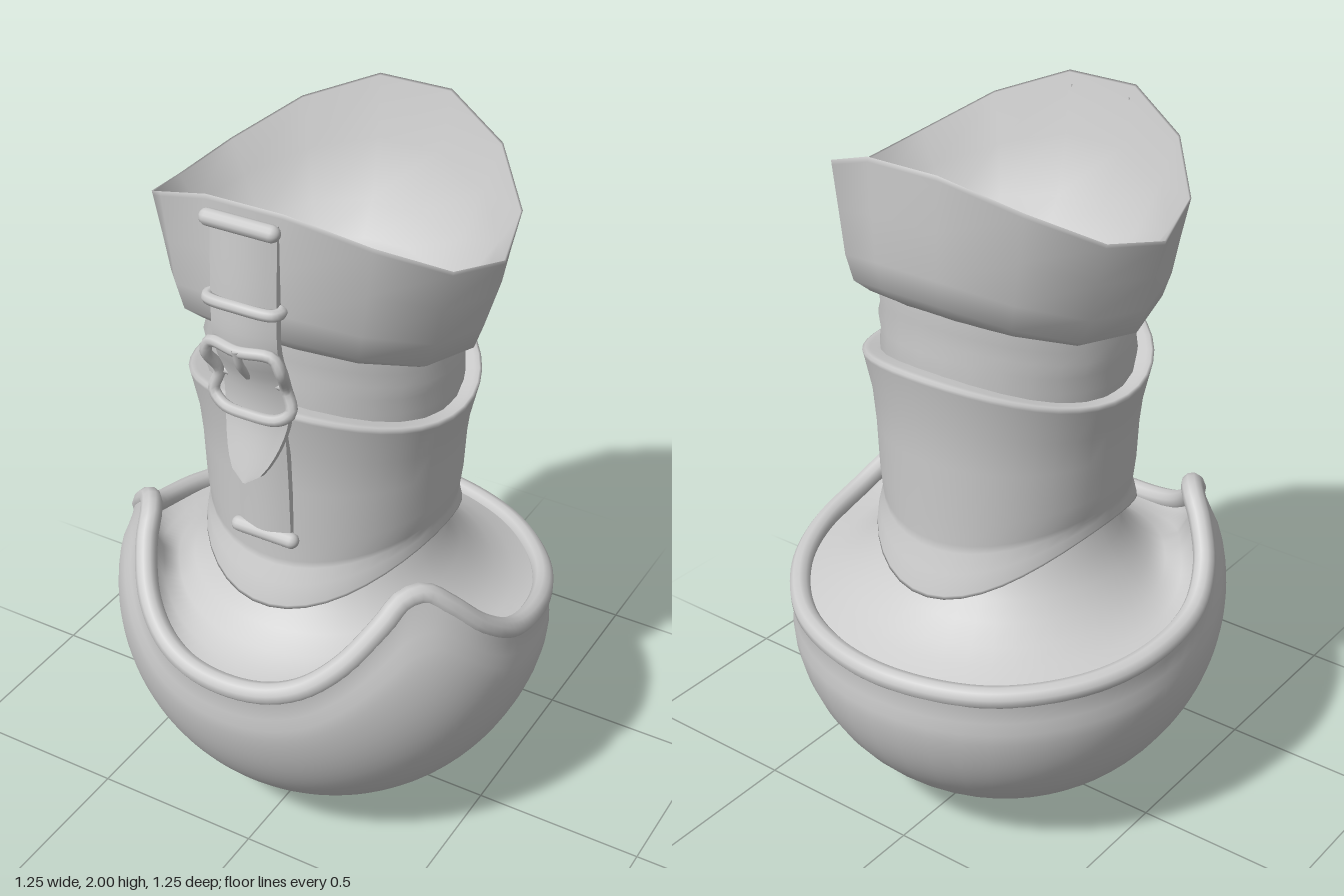
import * as THREE from 'three';

const material = new THREE.MeshStandardMaterial({ color: 0xcccccc, side: THREE.DoubleSide });
const V = (x, y, z) => new THREE.Vector3(x, y, z);
const cos2 = (a) => Math.cos(a) ** 2;

function add(parent, name, geometry) {
  const mesh = new THREE.Mesh(geometry, material);
  mesh.name = name;
  parent.add(mesh);
  return mesh;
}

// Smooth surface through closed rings: point(row, column) gives each corner.
function loft(rows, cols, point) {
  const pos = [], index = [];
  for (let j = 0; j < rows; j++)
    for (let i = 0; i < cols; i++) pos.push(...point(j, i).toArray());
  for (let j = 0; j < rows - 1; j++)
    for (let i = 0; i < cols; i++) {
      const a = j * cols + i, b = j * cols + (i + 1) % cols;
      index.push(a, b, b + cols, a, b + cols, a + cols);
    }
  const g = new THREE.BufferGeometry();
  g.setAttribute('position', new THREE.Float32BufferAttribute(pos, 3));
  g.setIndex(index);
  g.computeVertexNormals();
  return g;
}

// Elliptical rings [rx, rz, y at the sides, y at front and back, extra y at the front]
function cuff(rows, cols) {
  return loft(rows.length, cols, (j, i) => {
    const a = ((i + 0.5) / cols) * Math.PI * 2;
    const [rx, rz, ySide, yEnd, front = 0] = rows[j];
    const y = ySide + (yEnd - ySide) * cos2(a) + front * Math.max(0, Math.cos(a)) ** 2;
    return V(rx * Math.sin(a), y, rz * Math.cos(a));
  });
}

// Curved band following [y, z] points, optionally narrowing to a tip.
function band(points, width, tip = 0) {
  const path = new THREE.CatmullRomCurve3(points.map(([y, z]) => V(0, y, z)));
  const g = new THREE.BoxGeometry(width, 1, 0.02, 8, 28, 1);
  const p = g.attributes.position;
  for (let i = 0; i < p.count; i++) {
    const u = 0.5 - p.getY(i), c = path.getPointAt(u), t = path.getTangentAt(u);
    const taper = tip && u > 1 - tip ? Math.max(0.04, Math.sqrt(1 - ((u - 1 + tip) / tip) ** 1.5)) : 1;
    const x = p.getX(i) * taper, d = p.getZ(i);
    p.setXYZ(i, x, c.y + d * t.z, c.z - d * t.y - 3 * x * x);
  }
  g.computeVertexNormals();
  return g;
}

const loop = (points, r) =>
  new THREE.TubeGeometry(new THREE.CatmullRomCurve3(points, true), 56, r, 8, true);

export function createModel() {
  const model = new THREE.Group();
  model.name = 'armouredBoot';

  // Rim line on a slightly wide sphere: [degrees from the front, height], mirrored
  const R = 0.617, CY = 0.617, WIDE = 1.015;
  const half = [[0, 0.655], [12, 0.665], [22, 0.7], [32, 0.77], [43, 0.865], [50, 0.915], [57, 0.918],
    [64, 0.87], [73, 0.785], [85, 0.71], [105, 0.665], [125, 0.64], [150, 0.625], [180, 0.625]];
  const all = [...half, ...half.slice(1, -1).reverse().map(([d, y]) => [360 - d, y])];
  const rim = new THREE.CatmullRomCurve3(all.map(([d, y]) => {
    const a = THREE.MathUtils.degToRad(d), r = WIDE * Math.sqrt(R * R - (y - CY) ** 2) - 0.028;
    return V(r * Math.sin(a), y, r * Math.cos(a));
  }), true);

  // Round cup, closed at the bottom, cut along the rim line, with a shallow groove under the rim
  const rows = 28, cols = 96;
  const rimPoints = rim.getPoints(cols);
  add(model, 'cup', loft(rows, cols, (j, i) => {
    const q = rimPoints[i], a = Math.atan2(q.x, q.z), t = j / (rows - 1);
    const phi = Math.acos(THREE.MathUtils.clamp((CY - q.y) / R, -1, 1)) * t;
    const back = 0.04 * Math.max(0, -Math.cos(a)) * Math.sin(Math.PI * t);
    const groove = 0.018 * Math.exp(-(((t - 0.95) / 0.045) ** 2));
    const r = R * Math.sin(phi) * (WIDE + back - groove);
    return V(r * Math.sin(a), CY - R * Math.cos(phi), r * Math.cos(a));
  }));
  add(model, 'cupRim', new THREE.TubeGeometry(rim, 144, 0.031, 10, true));

  // Filling that runs from the rim into a dome around the leg: [radius, height, pull to the rim]
  const dome = [[0.58, 0.6, 1], [0.52, 0.65, 0.6], [0.48, 0.672, 0.28], [0.44, 0.695, 0.1], [0.4, 0.733, 0.02],
    [0.36, 0.775, 0], [0.32, 0.83, 0], [0.29, 0.9, 0], [0.27, 0.96, 0]];
  add(model, 'innerDome', loft(dome.length, cols, (j, i) => {
    const q = rimPoints[i], a = Math.atan2(q.x, q.z), [r, y, pull] = dome[j];
    return V(r * Math.sin(a), y, r * Math.cos(a)).lerp(q, pull);
  }));

  // Leg with soft folds below the upper cuff
  add(model, 'leg', cuff([
    [0.29, 0.31, 0.85, 0.85], [0.31, 0.32, 0.97, 0.97], [0.34, 0.33, 1.25, 1.25],
    [0.355, 0.337, 1.36, 1.42], [0.348, 0.335, 1.4, 1.46], [0.358, 0.335, 1.44, 1.5],
    [0.347, 0.335, 1.47, 1.54], [0.352, 0.34, 1.5, 1.6], [0.34, 0.335, 1.54, 1.64],
  ], 28));

  // Lower cuff: folded bottom band, arched bottom edge and a top closing onto the leg
  add(model, 'lowerCuff', cuff([
    [0.31, 0.34, 0.96, 0.82], [0.335, 0.392, 0.932, 0.772, 0.025], [0.345, 0.402, 0.93, 0.768, 0.025],
    [0.345, 0.4, 0.935, 0.778, 0.025], [0.342, 0.383, 0.955, 0.84, 0.025],
    [0.342, 0.36, 0.97, 0.9, 0.01], [0.347, 0.358, 0.985, 0.925, 0.005], [0.355, 0.36, 1.04, 1.0],
    [0.362, 0.362, 1.15, 1.16], [0.372, 0.368, 1.23, 1.28], [0.392, 0.391, 1.317, 1.405],
    [0.395, 0.394, 1.328, 1.416], [0.388, 0.386, 1.332, 1.421], [0.375, 0.372, 1.331, 1.42],
    [0.34, 0.33, 1.326, 1.412],
  ], 42));

  // Upper cuff: 14 sides, rounded in to the leg below, high front and back, hollow with a floor inside
  add(model, 'upperCuff', cuff([
    [0.335, 0.328, 1.495, 1.575], [0.375, 0.37, 1.498, 1.605], [0.41, 0.42, 1.515, 1.655],
    [0.435, 0.434, 1.585, 1.73], [0.458, 0.436, 1.68, 1.86], [0.484, 0.437, 1.775, 1.997],
    [0.487, 0.437, 1.786, 2.011], [0.482, 0.432, 1.784, 2.006], [0.43, 0.4, 1.715, 1.84],
    [0.36, 0.34, 1.63, 1.67], [0.28, 0.27, 1.585, 1.59], [0.2, 0.192, 1.56, 1.56],
    [0.001, 0.001, 1.56, 1.56],
  ], 14));

  // Front strap
  const strap = new THREE.Group();
  strap.name = 'strap';
  model.add(strap);
  add(strap, 'upperStrap', band(
    [[1.965, 0.45], [1.75, 0.46], [1.62, 0.458], [1.51, 0.42], [1.4, 0.412], [1.225, 0.456]], 0.19, 0.26));
  add(strap, 'lowerStrap', band([[1.43, 0.398], [1.32, 0.39], [1.2, 0.382], [1.0, 0.374]], 0.155));

  // Rounded bars at both strap ends
  for (const [name, y, z, w] of [['topBar', 1.955, 0.45, 0.2], ['bottomBar', 1.015, 0.37, 0.18]]) {
    const bar = add(strap, name, new THREE.CapsuleGeometry(0.022, w - 0.02, 6, 12));
    bar.rotation.z = Math.PI / 2;
    bar.position.set(0, y, z);
  }

  // Keeper loop around the strap
  add(strap, 'keeper', loop([
    V(-0.1, 1.74, 0.43), V(-0.095, 1.74, 0.457), V(0, 1.745, 0.474), V(0.095, 1.74, 0.457),
    V(0.1, 1.74, 0.43), V(0, 1.74, 0.435),
  ], 0.016));

  // Bowed buckle frame, prong and hinge bar
  add(strap, 'buckleFrame', loop([
    V(-0.09, 1.62, 0.458), V(0, 1.622, 0.475), V(0.09, 1.62, 0.458), V(0.11, 1.58, 0.452),
    V(0.098, 1.51, 0.41), V(0.115, 1.45, 0.415), V(0.08, 1.42, 0.425), V(0, 1.418, 0.435),
    V(-0.08, 1.42, 0.425), V(-0.115, 1.45, 0.415), V(-0.098, 1.51, 0.41), V(-0.11, 1.58, 0.452),
  ], 0.016));
  const prong = new THREE.CatmullRomCurve3([V(0, 1.53, 0.43), V(0, 1.58, 0.468), V(0, 1.63, 0.484)]);
  add(strap, 'buckleProng', new THREE.TubeGeometry(prong, 12, 0.011, 8));
  const hinge = add(strap, 'hingeBar', new THREE.CapsuleGeometry(0.011, 0.19, 4, 8));
  hinge.rotation.z = Math.PI / 2;
  hinge.position.set(0, 1.51, 0.405);

  return model;
}
